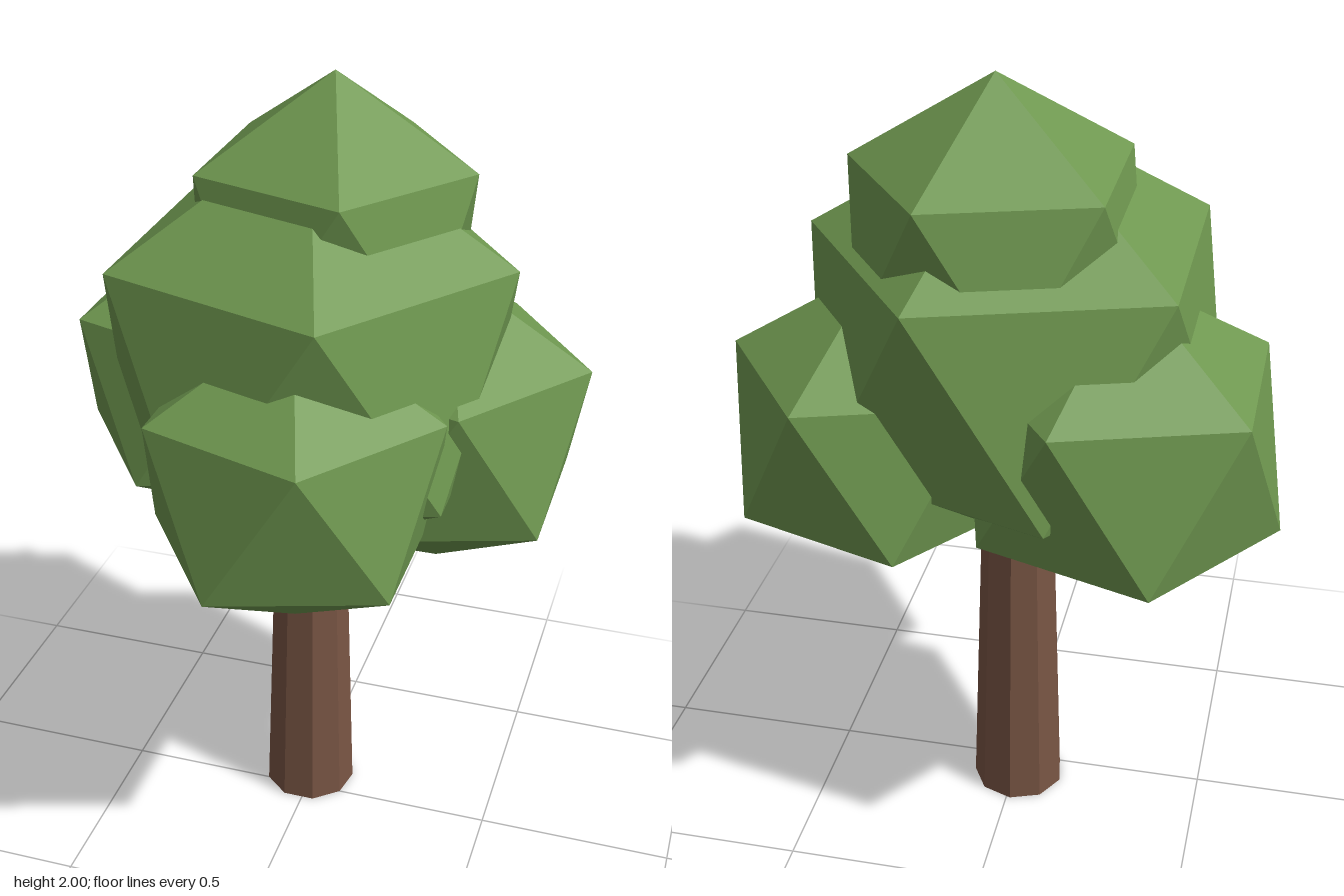
import * as THREE from 'three';

export function createModel() {
  const tree = new THREE.Group();
  tree.name = 'tree';

  const leafGreen = new THREE.MeshStandardMaterial({ color: 0x6f9850, flatShading: true });
  leafGreen.name = 'leaf green';
  const barkBrown = new THREE.MeshStandardMaterial({ color: 0x795544, flatShading: true });
  barkBrown.name = 'bark brown';

  // Tapered nine-sided trunk, its top hidden in the foliage
  const height = 1.2;
  const trunk = new THREE.Mesh(new THREE.CylinderGeometry(0.082, 0.12, height, 9), barkBrown);
  trunk.name = 'trunk';
  trunk.position.set(-0.01, height / 2, -0.06);
  trunk.rotation.y = Math.PI;
  tree.add(trunk);

  // Icosahedron turned so that one corner points straight up
  const golden = (1 + Math.sqrt(5)) / 2;
  const clump = new THREE.IcosahedronGeometry(1, 0).rotateZ(-Math.atan(1 / golden));

  // Foliage clumps: name, radius, centre
  const clumps = [
    ['topFoliage', 0.385, 0.025, 1.615, -0.133],
    ['middleFoliage', 0.562, -0.013, 1.338, -0.065],
    ['rightFoliage', 0.419, -0.295, 1.163, -0.222],
    ['leftFoliage', 0.406, 0.3, 1.127, -0.172],
    ['frontFoliage', 0.402, 0.04, 1.146, 0.233],
  ];
  for (const [name, radius, x, y, z] of clumps) {
    const mesh = new THREE.Mesh(clump, leafGreen);
    mesh.name = name;
    mesh.scale.setScalar(radius);
    mesh.position.set(x, y, z);
    tree.add(mesh);
  }
  return tree;
}
